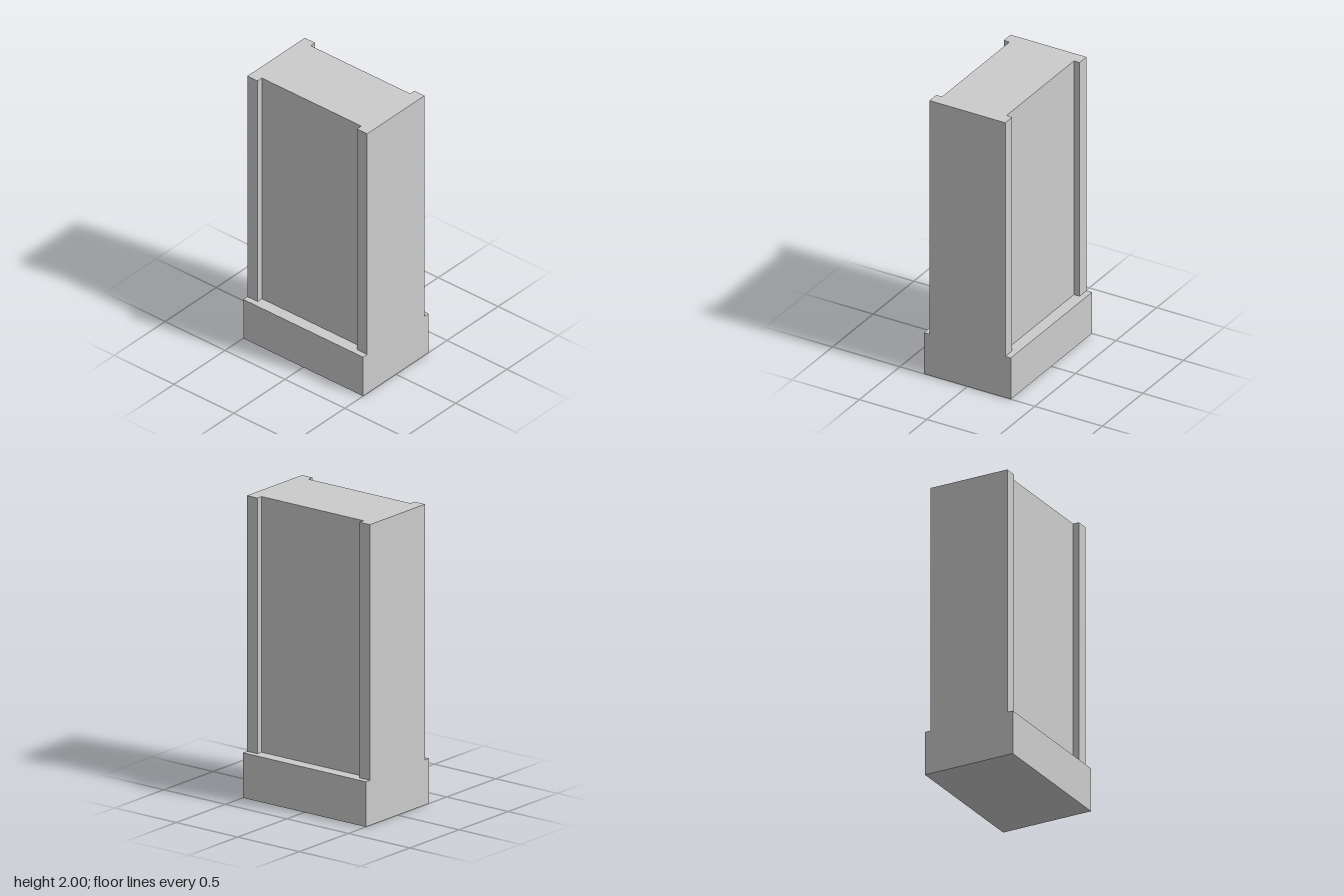
import * as THREE from 'three';

const WIDTH = 1, HEIGHT = 2;
const BASE_HEIGHT = 0.3, BASE_DEPTH = 0.643;
const EDGE = 0.415;        // inner edge of the corner strips
const STRIP_Z = 0.281;     // half depth at the corner strips
const PANEL_Z = 0.239;     // half depth at the recessed panels

export function createModel() {
  const model = new THREE.Group();
  model.name = 'wallSection';
  const material = new THREE.MeshStandardMaterial({ color: 0xcccccc, flatShading: true });

  // Plinth, flush with the wall at both ends
  const plinth = new THREE.Mesh(new THREE.BoxGeometry(WIDTH, BASE_HEIGHT, BASE_DEPTH), material);
  plinth.name = 'plinth';
  plinth.position.y = BASE_HEIGHT / 2;
  model.add(plinth);

  // Wall: H-shaped plan with a recessed panel front and back, raised upright
  const w = WIDTH / 2;
  const half = [[w, -STRIP_Z], [w, STRIP_Z], [EDGE, STRIP_Z], [EDGE, PANEL_Z]];
  const plan = [...half, ...half.map(([x, z]) => [-x, -z])];
  // Second half starts at the opposite corner; close it with the facing panel edges
  const outline = [
    ...plan.slice(0, 4), [-EDGE, PANEL_Z], [-EDGE, STRIP_Z],
    ...plan.slice(4), [EDGE, -PANEL_Z], [EDGE, -STRIP_Z],
  ];
  const shape = new THREE.Shape(outline.map(([x, z]) => new THREE.Vector2(x, z)));
  const geometry = new THREE.ExtrudeGeometry(shape, { depth: HEIGHT - BASE_HEIGHT, bevelEnabled: false });
  geometry.rotateX(-Math.PI / 2);
  const wall = new THREE.Mesh(geometry, material);
  wall.name = 'panelledWall';
  wall.position.y = BASE_HEIGHT;
  model.add(wall);

  return model;
}
